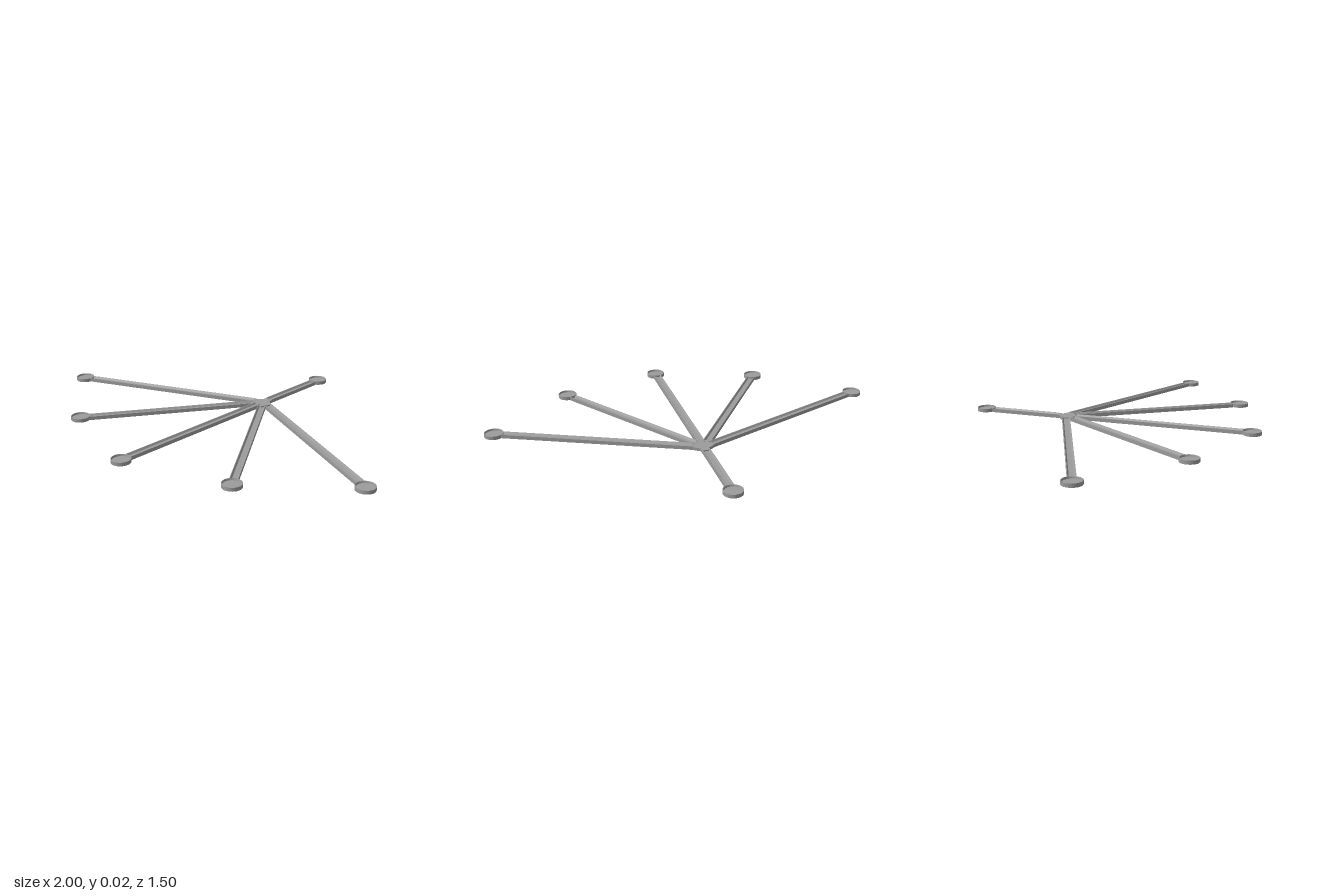
import * as THREE from 'three';

export function createModel() {
  const group = new THREE.Group();
  const mat = new THREE.MeshStandardMaterial({ color: 0x9c9c9c, flatShading: true });
  const add = (geo, name) => {
    const mesh = new THREE.Mesh(geo, mat);
    mesh.name = name;
    group.add(mesh);
    return mesh;
  };
  const shapeOf = (pts) => new THREE.Shape(pts.map(([x, y]) => new THREE.Vector2(x, y)));

  const hubX = 0.004, hubZ = -0.255, padR = 0.047;

  // Arm cross-section: channel with sloping inner walls
  const section = shapeOf([
    [-0.02, 0], [0.02, 0], [0.02, 0.018], [0.017, 0.018],
    [0.011, 0.009], [-0.011, 0.009], [-0.017, 0.018], [-0.02, 0.018],
  ]);
  // Pad profile: round dish with a thin rim
  const padProfile = [
    [0, 0], [padR, 0], [padR, 0.018], [0.044, 0.018], [0.042, 0.009], [0, 0.009],
  ].map(([x, y]) => new THREE.Vector2(x, y));

  // Six arms fan out from the hub, each ending in a pad: x, z, pad lift
  const ends = [
    ['back', hubX, -0.701, 0.002],
    ['right', -0.953, 0.158, 0],
    ['left', 0.953, 0.158, 0],
    ['frontRight', -0.516, 0.527, 0.002],
    ['frontLeft', 0.532, 0.532, 0.002],
    ['front', hubX, 0.701, 0],
  ];
  for (const [name, x, z, lift] of ends) {
    const dx = x - hubX, dz = z - hubZ;
    const start = 0.045;
    const length = Math.hypot(dx, dz) - start - 0.042;
    const geo = new THREE.ExtrudeGeometry(section, { depth: length, bevelEnabled: false });
    geo.translate(0, 0, start);
    const arm = add(geo, name + 'Arm');
    arm.rotation.y = Math.atan2(dx, dz);
    arm.position.set(hubX, 0, hubZ);

    const pad = add(new THREE.LatheGeometry(padProfile, 32), name + 'Pad');
    pad.position.set(x, lift, z);
  }

  // Hub plate joining the arms
  const half = [[0.02, -0.3], [0.022, -0.277], [0.058, -0.252], [0.046, -0.216], [0.038, -0.196], [0.019, -0.2]];
  const outline = [...half, ...half.map(([x, z]) => [-x, z]).reverse()];
  const hub = new THREE.ExtrudeGeometry(shapeOf(outline.map(([x, z]) => [x, -z])), { depth: 0.015, bevelEnabled: false });
  hub.rotateX(-Math.PI / 2);
  add(hub, 'hub').position.x = hubX;

  return group;
}
